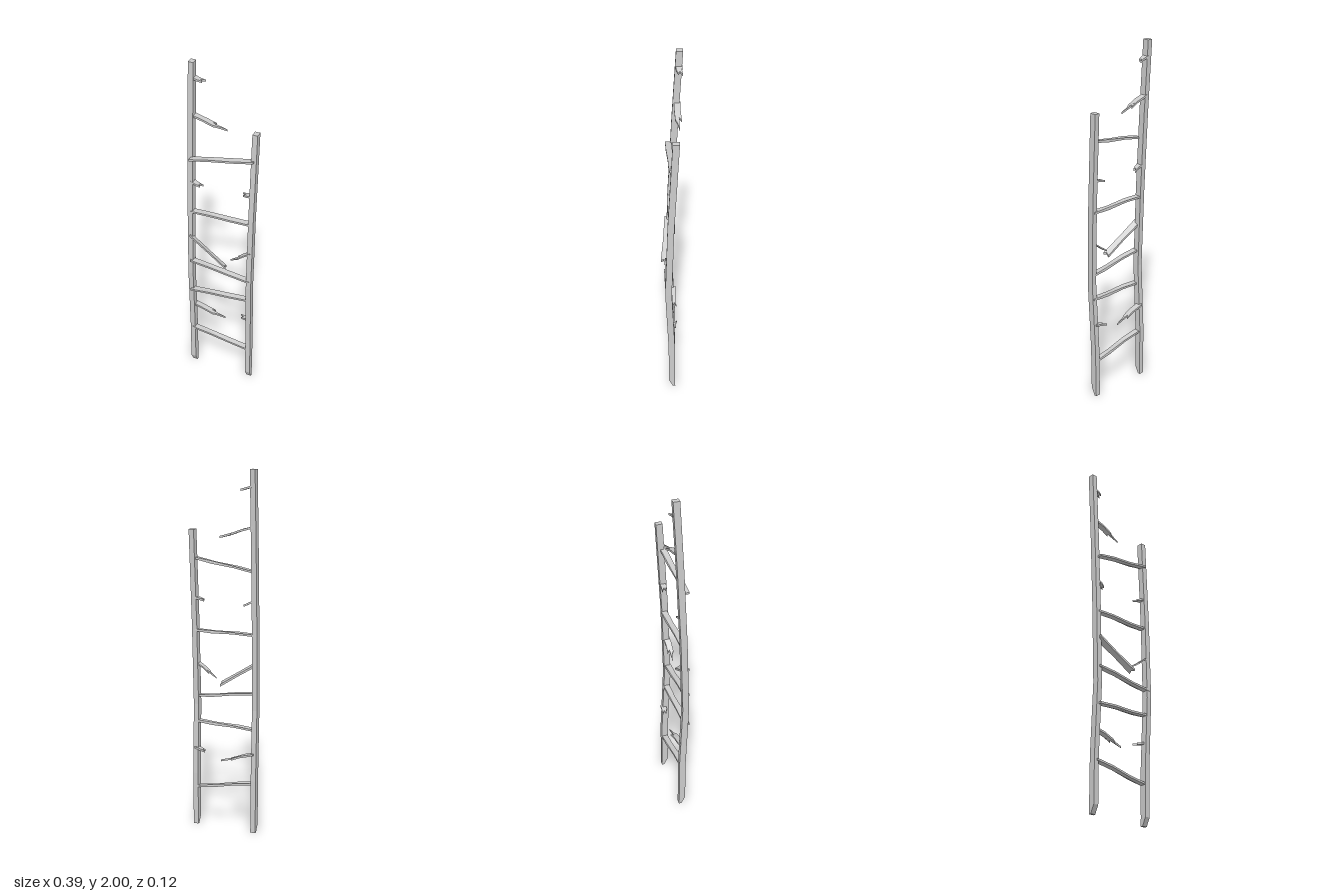
import * as THREE from 'three';

const material = new THREE.MeshStandardMaterial({ color: 0xcccccc, flatShading: true });

function addMesh(group, geometry, name) {
  geometry.computeVertexNormals();
  const mesh = new THREE.Mesh(geometry, material);
  mesh.name = name;
  group.add(mesh);
}

// Rail: a box whose rows follow [x, y, z] centres; the foot is cut away at the front
function addRail(group, name, rows) {
  const n = rows.length - 1;
  const geo = new THREE.BoxGeometry(1, 1, 1, 1, n, 1);
  const p = geo.attributes.position;
  for (let i = 0; i < p.count; i++) {
    const row = Math.round((p.getY(i) + 0.5) * n);
    const [x, y, z] = rows[row];
    const foot = row === 0;
    const front = p.getZ(i) > 0;
    p.setXYZ(i, x + p.getX(i) * 0.029, y, z + (foot && front ? -0.004 : p.getZ(i) * 0.036));
  }
  addMesh(group, geo, name);
}

// Outlines run u = 0..1 along the rung and v = -0.5..0.5 across its depth
const WHOLE = [[0, -0.5], [0.35, -0.42], [0.7, -0.5], [1, -0.45], [1, 0.5], [0.65, 0.42], [0.3, 0.5], [0, 0.45]];
const SPLIT = [[0, -0.5], [0.4, -0.42], [0.66, -0.5], [0.56, -0.14], [1, -0.08], [0.72, 0.18], [0.62, 0.45], [0.3, 0.5], [0, 0.45]];
const STUB = [[0, -0.5], [0.5, -0.42], [1, -0.5], [0.65, -0.1], [0.85, 0.15], [0.5, 0.4], [0, 0.5]];
const SNAPPED = [[0, -0.5], [0.5, -0.42], [0.97, -0.5], [0.95, 0.1], [1, 0.5], [0.5, 0.42], [0, 0.5]];

// Rung: an extruded outline laid from a to b, rolled about its length and slightly bent
function addRung(group, { name, outline, a, b, depth = 0.036, thick = 0.011, roll = 0, bend = 0.003 }) {
  const shape = new THREE.Shape(outline.map(([u, v]) => new THREE.Vector2(u, v)));
  const geo = new THREE.ExtrudeGeometry(shape, { depth: 1, bevelEnabled: false });
  const p = geo.attributes.position;
  const mirrored = b[0] < a[0];
  for (let i = 0; i < p.count; i++) {
    const u = p.getX(i), v = p.getY(i) * depth;
    const t = (mirrored ? p.getZ(i) - 0.5 : 0.5 - p.getZ(i)) * thick;
    const wave = Math.sin(u * Math.PI * 2) * bend;
    p.setXYZ(i,
      a[0] + (b[0] - a[0]) * u,
      a[1] + (b[1] - a[1]) * u + (mirrored ? -t : t) + wave + v * Math.sin(roll),
      a[2] + (b[2] - a[2]) * u + v * Math.cos(roll));
  }
  // Keep the faces outward whichever way the rung runs
  if (mirrored) {
    for (let i = 0; i < p.count; i += 3) {
      const q = [p.getX(i), p.getY(i), p.getZ(i)];
      p.setXYZ(i, p.getX(i + 1), p.getY(i + 1), p.getZ(i + 1));
      p.setXYZ(i + 1, ...q);
    }
  }
  addMesh(group, geo, name);
}

export function createModel() {
  const ladder = new THREE.Group();
  ladder.name = 'brokenLadder';

  // Bowed side rails, one snapped shorter than the other
  addRail(ladder, 'rightRail', [
    [-0.18, 0, -0.006], [-0.18, 0.045, -0.005], [-0.18, 0.3, -0.004], [-0.178, 0.7, 0.014],
    [-0.18, 1.15, 0.001], [-0.181, 1.6, -0.02], [-0.182, 2, -0.043]]);
  addRail(ladder, 'leftRail', [
    [0.169, 0, -0.006], [0.169, 0.045, -0.005], [0.17, 0.3, -0.004], [0.173, 0.7, 0.014],
    [0.175, 1.15, 0.001], [0.178, 1.675, -0.026]]);

  // Unbroken rungs: height and depth position at each end
  const whole = [
    [0.28, 0.004, 0.22, -0.006], [0.582, 0.024, 0.605, 0.006], [0.79, 0.022, 0.745, 0.016],
    [1.117, 0.006, 1.122, -0.004], [1.455, 0.016, 1.52, -0.005]];
  whole.forEach(([y0, z0, y1, z1], i) => addRung(ladder, {
    name: `wholeRung${i + 1}`, outline: WHOLE, a: [-0.178, y0, z0], b: [0.178, y1, z1]
  }));

  // Long splintered rungs
  addRung(ladder, { name: 'splitRungLow', outline: SPLIT, a: [-0.178, 0.453, -0.008], b: [0.015, 0.395, -0.015] });
  addRung(ladder, { name: 'splitRungHigh', outline: SPLIT, a: [-0.178, 1.7, -0.03], b: [0.01, 1.642, -0.043] });

  // Rung snapped in two, its halves hanging down
  addRung(ladder, { name: 'snappedRungLong', outline: SNAPPED, a: [-0.178, 0.957, 0.02], b: [0.046, 0.816, 0.04], roll: 0.4, thick: 0.013 });
  addRung(ladder, { name: 'snappedRungShort', outline: SPLIT, a: [0.176, 0.94, 0.012], b: [0.058, 0.857, 0.018], thick: 0.009 });

  // Short stubs left on the rails
  const stubs = [
    [-0.178, 1.912, -0.04, -0.115, 1.893, -0.042], [-0.178, 1.308, -0.004, -0.118, 1.279, -0.004],
    [0.176, 1.304, -0.008, 0.11, 1.291, -0.01], [0.174, 0.45, -0.008, 0.106, 0.436, -0.014]];
  stubs.forEach(([x0, y0, z0, x1, y1, z1], i) => addRung(ladder, {
    name: `rungStub${i + 1}`, outline: STUB, a: [x0, y0, z0], b: [x1, y1, z1], bend: 0.001
  }));

  return ladder;
}
